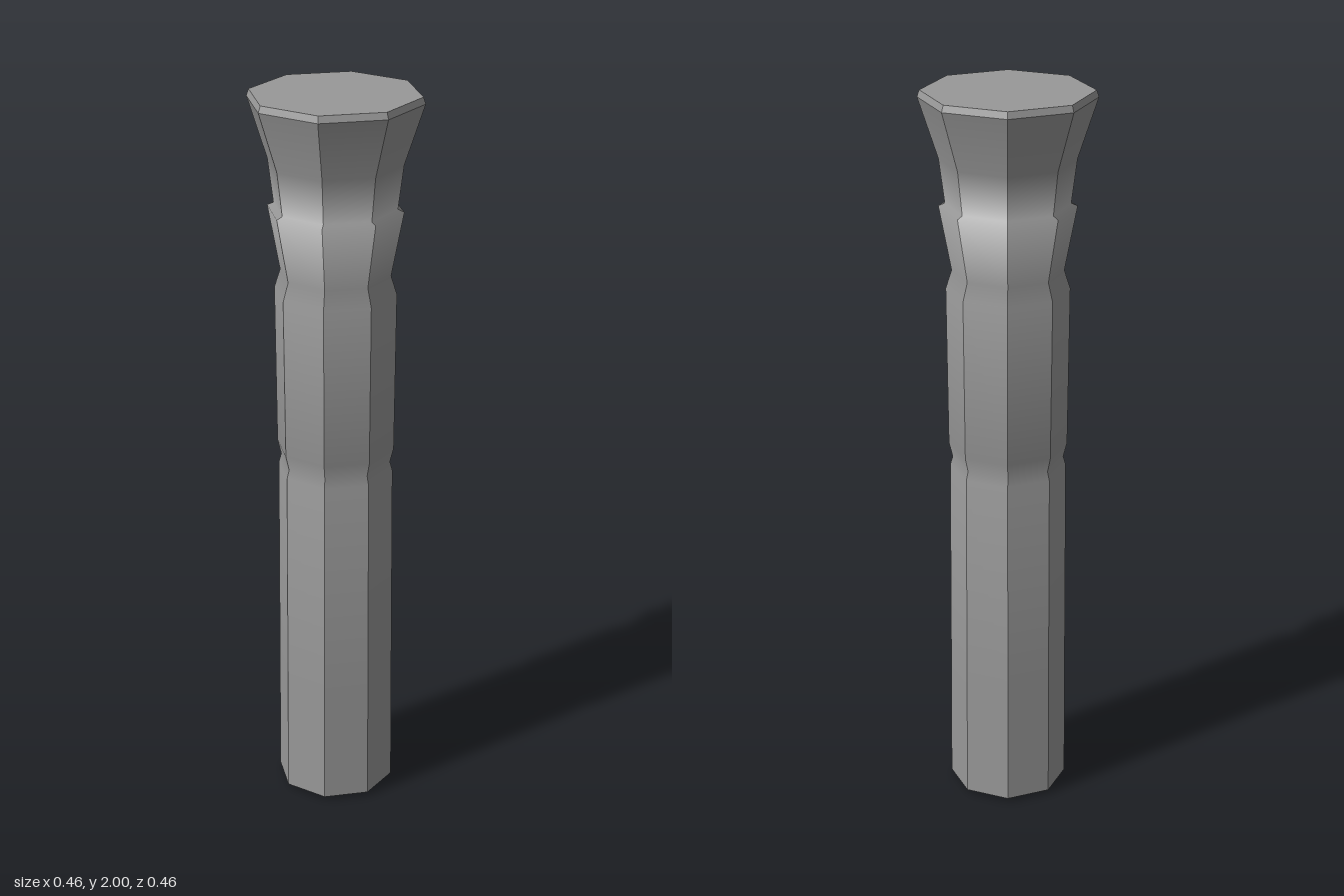
import * as THREE from 'three';
import { mergeGeometries } from 'three/addons/utils/BufferGeometryUtils.js';

const SIDES = 8;

// Normal [outward, up] at each profile point: mean of the adjoining segments' normals.
function profileNormals(points) {
  const segments = points.slice(1).map((p, i) => {
    const d = p.clone().sub(points[i]).normalize();
    return new THREE.Vector2(d.y, -d.x);
  });
  return points.map((_, i) => {
    const below = segments[Math.max(i - 1, 0)];
    const above = segments[Math.min(i, segments.length - 1)];
    return below.clone().add(above).normalize();
  });
}

// Octagonal ring of panels: smooth along the profile, sharp at the vertical corners.
function facetedLathe(profile) {
  const points = profile.map(([r, y]) => new THREE.Vector2(r, y));
  const normals = profileNormals(points);
  const step = (Math.PI * 2) / SIDES;
  const panels = [];
  for (let i = 0; i < SIDES; i++) {
    const panel = new THREE.LatheGeometry(points, 1, i * step, step);
    const facing = (i + 0.5) * step;
    const normal = panel.attributes.normal;
    for (let v = 0; v < normal.count; v++) {
      const n = normals[v % points.length];
      normal.setXYZ(v, n.x * Math.sin(facing), n.y, n.x * Math.cos(facing));
    }
    panels.push(panel);
  }
  return mergeGeometries(panels);
}

export function createModel() {
  const group = new THREE.Group();
  group.name = 'column';
  const material = new THREE.MeshStandardMaterial({ color: 0x999999 });

  // Profiles as [corner radius, height], from bottom to top
  const parts = {
    baseCap: [[0, 0], [0.162, 0.011]],
    // shaft with two shallow grooves, then the collar ledge and flared capital
    shaft: [
      [0.162, 0.011], [0.160, 0.34], [0.157, 0.965], [0.150, 0.99],
      [0.160, 1.03], [0.164, 1.47], [0.148, 1.52], [0.181, 1.695],
      [0.164, 1.702], [0.179, 1.82], [0.232, 1.982],
    ],
    topBevel: [[0.232, 1.982], [0.226, 2]],
    topCap: [[0.226, 2], [0, 2]],
  };

  for (const [name, profile] of Object.entries(parts)) {
    const mesh = new THREE.Mesh(facetedLathe(profile), material);
    mesh.name = name;
    group.add(mesh);
  }
  return group;
}
